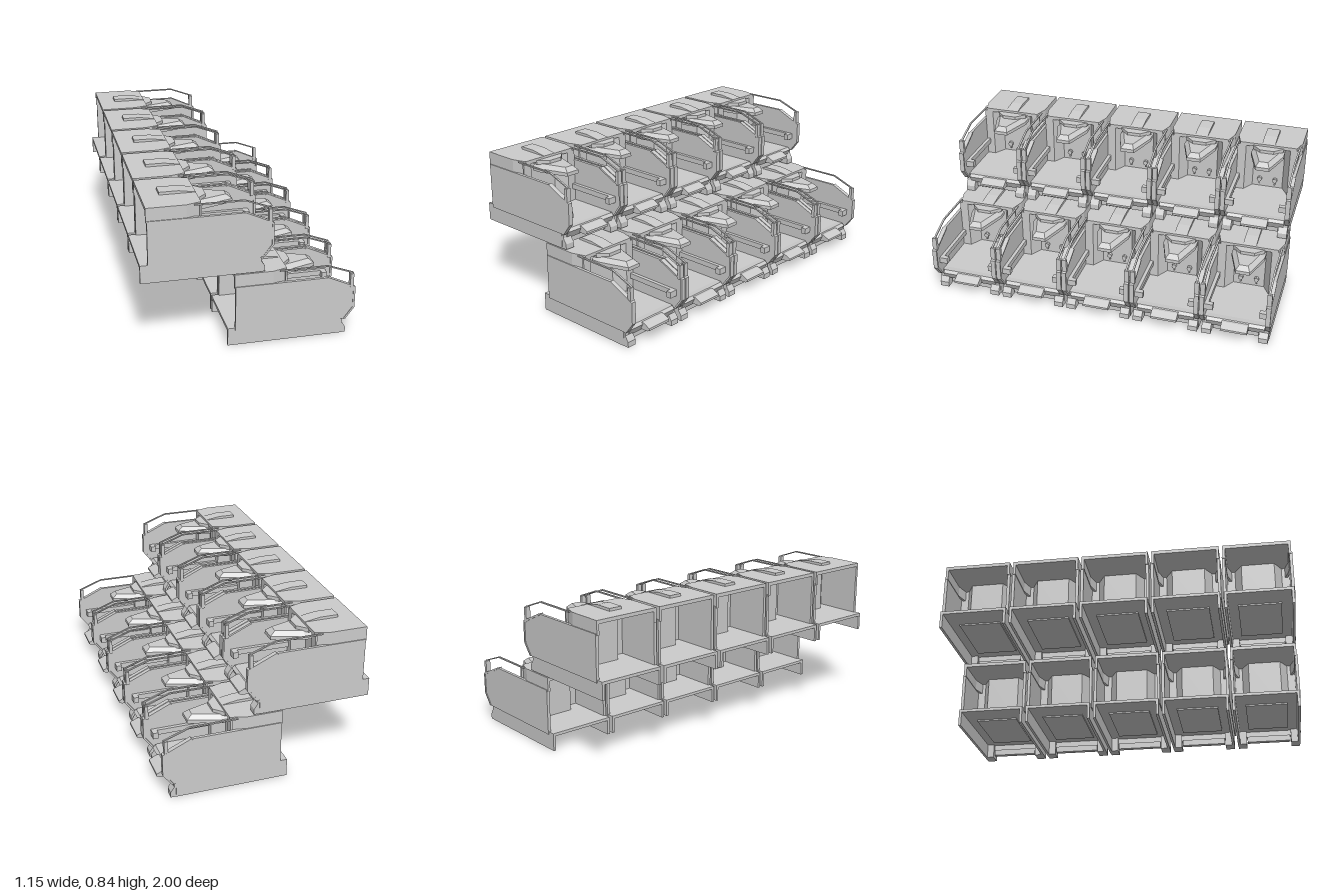
import * as THREE from 'three';

const material = new THREE.MeshStandardMaterial({ color: 0xcccccc, flatShading: true, side: THREE.DoubleSide });

function add(parent, name, geometry, x = 0, y = 0, z = 0) {
  const mesh = new THREE.Mesh(geometry, material);
  mesh.name = name;
  mesh.position.set(x, y, z);
  parent.add(mesh);
  return mesh;
}

const toShape = (pts) => new THREE.Shape(pts.map(([a, b]) => new THREE.Vector2(a, b)));

// Side profile (x, y) extruded from z0 to z1
function profile(pts, z0, z1) {
  return new THREE.ExtrudeGeometry(toShape(pts), { depth: z1 - z0, bevelEnabled: false }).translate(0, 0, z0);
}

// Plan outline (x, z) extruded from y0 to y1
function plan(pts, y0, y1) {
  return new THREE.ExtrudeGeometry(toShape(pts.map(([x, z]) => [x, -z])), { depth: y1 - y0, bevelEnabled: false })
    .rotateX(-Math.PI / 2).translate(0, y0, 0);
}

// Box given by its limits
function box(x0, x1, y0, y1, z0, z1) {
  return new THREE.BoxGeometry(x1 - x0, y1 - y0, z1 - z0)
    .translate((x0 + x1) / 2, (y0 + y1) / 2, (z0 + z1) / 2);
}

// Half outline on +z completed by its mirror image
const mirrored = (half) => [...half, ...half.slice().reverse().map(([x, z]) => [x, -z])];

// Wedge-shaped nose lofted through three horizontal outlines
function noseGeometry() {
  const levels = [
    [0.338, [[0.17, 0.095], [0.22, 0.095], [0.39, 0.04]]],
    [0.358, [[0.17, 0.095], [0.22, 0.095], [0.39, 0.04]]],
    [0.38, [[0.17, 0.07], [0.22, 0.07], [0.36, 0.025]]],
  ];
  const pos = [], idx = [];
  for (const [y, half] of levels) for (const [x, z] of mirrored(half)) pos.push(x, y, z);
  for (let l = 0; l < 2; l++) for (let i = 0; i < 6; i++) {
    const a = l * 6 + i, b = l * 6 + (i + 1) % 6;
    idx.push(a, b, b + 6, a, b + 6, a + 6);
  }
  for (let i = 1; i < 5; i++) idx.push(0, i + 1, i, 12, 12 + i, 13 + i);
  const g = new THREE.BufferGeometry();
  g.setAttribute('position', new THREE.Float32BufferAttribute(pos, 3));
  g.setIndex(idx);
  g.computeVertexNormals();
  return g;
}

function createBay() {
  const bay = new THREE.Group();
  bay.name = 'bay';

  // Floor with a shallow panel below and a front sill
  add(bay, 'floor', box(-0.12, 0.5, 0.083, 0.1, -0.19, 0.19));
  add(bay, 'underfloorPanel', box(0.02, 0.4, 0.075, 0.083, -0.12, 0.12));
  add(bay, 'frontSill', profile([[0.47, 0.05], [0.505, 0.05], [0.525, 0.09], [0.51, 0.105], [0.47, 0.1]], -0.165, 0.165));
  add(bay, 'sillBar', box(0.46, 0.49, 0.015, 0.05, -0.13, 0.13));
  add(bay, 'frontStep', profile([[0.5, 0.06], [0.555, 0.06], [0.572, 0.068], [0.572, 0.08], [0.53, 0.1], [0.5, 0.1]], -0.075, 0.075));

  // Roof, tapered at its front corners, with its raised hatch and nose
  add(bay, 'roof', plan(mirrored([[-0.085, 0.19], [0.12, 0.19], [0.2, 0.165], [0.2, 0.1]]), 0.39, 0.41));
  add(bay, 'roofHatch', profile([[0.01, 0.41], [0.01, 0.425], [0.11, 0.425], [0.2, 0.411], [0.2, 0.405]], -0.038, 0.038));
  add(bay, 'roofBrow', plan(mirrored([[0.16, 0.09], [0.2, 0.09], [0.25, 0.04]]), 0.375, 0.398));
  add(bay, 'nose', noseGeometry());

  // Alcove partition with angled cheeks
  const t = 0.01;
  const front = [[0.2, 0.18], [0.2, 0.13], [0.13, 0.09]];
  const outline = mirrored(front);
  const inner = mirrored(front.map(([x, z]) => [x - t, z + (z < 0.15 ? 0.004 : 0)])).reverse();
  add(bay, 'partition', plan([...outline, ...inner], 0.095, 0.395));

  // Parts repeated on both sides
  for (const s of [1, -1]) {
    const side = new THREE.Group();
    side.name = s > 0 ? 'leftSide' : 'rightSide';
    side.scale.z = s;
    bay.add(side);
    add(side, 'skirt', box(-0.12, 0.5, 0, 0.1, 0.175, 0.19));
    add(side, 'foot', profile([[0.45, 0], [0.53, 0], [0.53, 0.03], [0.51, 0.06], [0.51, 0.085], [0.45, 0.085]], 0.135, 0.188));
    add(side, 'sideWall', profile([[-0.08, 0.085], [0.52, 0.085], [0.568, 0.15], [0.568, 0.27], [0.415, 0.34], [-0.08, 0.34]], 0.178, 0.195));
    add(side, 'wallEdgeTrim', profile([[0.512, 0.085], [0.524, 0.085], [0.573, 0.15], [0.573, 0.272], [0.418, 0.343],
      [0.41, 0.336], [0.562, 0.266], [0.562, 0.153]], 0.172, 0.198));
    add(side, 'upperWall', plan([[-0.085, 0.175], [-0.085, 0.19], [0.12, 0.19], [0.2, 0.165], [0.2, 0.15], [0.12, 0.175]], 0.33, 0.392));
    add(side, 'armRest', profile([[0.2, 0.17], [0.49, 0.17], [0.51, 0.18], [0.51, 0.2], [0.2, 0.2]], 0.158, 0.18));
    add(side, 'wallPad', box(0.5, 0.53, 0.165, 0.2, 0.13, 0.18));
    add(side, 'handrail', profile([[0.16, 0.398], [0.42, 0.398], [0.562, 0.345], [0.562, 0.27], [0.543, 0.27],
      [0.543, 0.345], [0.42, 0.391], [0.16, 0.391]].map(([x, y]) => [x, y + 0.008]), 0.176, 0.186));
    add(side, 'railPost', box(0.543, 0.562, 0.27, 0.35, 0.17, 0.197));
    // Small knob on a stem, on the partition
    add(side, 'knobStem', box(0.13, 0.145, 0.12, 0.145, 0.042, 0.05));
    add(side, 'knob', new THREE.CylinderGeometry(0.014, 0.014, 0.02, 8).rotateZ(Math.PI / 2), 0.14, 0.15, 0.046);
  }
  return bay;
}

export function createModel() {
  const model = new THREE.Group();
  model.name = 'tieredBays';
  const bay = createBay();
  // Two stepped tiers of five bays
  for (let tier = 0; tier < 2; tier++) {
    const row = new THREE.Group();
    row.name = tier ? 'upperTier' : 'lowerTier';
    row.position.set(-0.455 * tier, 0.415 * tier, 0);
    for (let i = -2; i <= 2; i++) {
      const copy = bay.clone();
      copy.position.z = i * 0.401;
      row.add(copy);
    }
    model.add(row);
  }
  return model;
}
